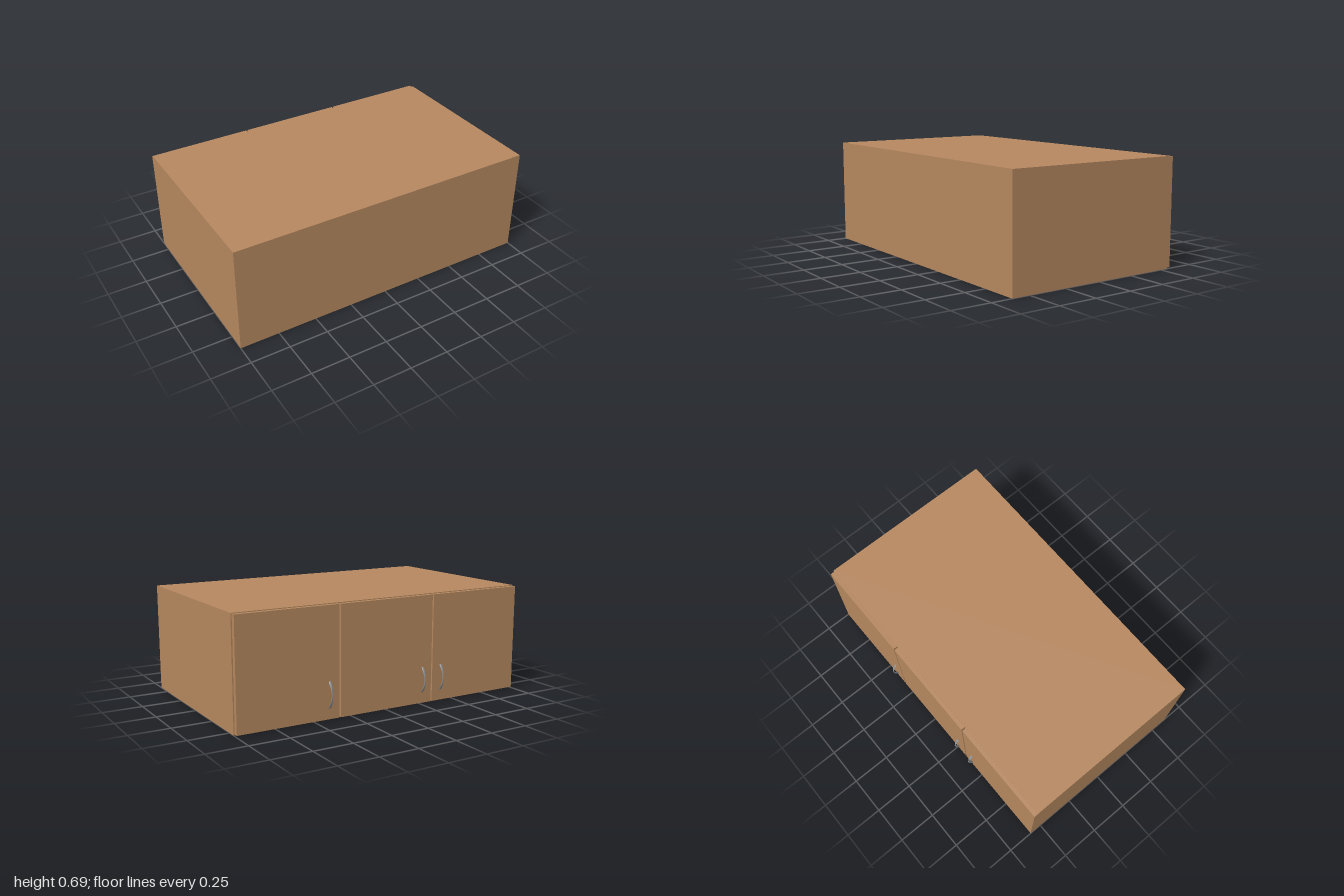
import * as THREE from 'three';

export function createModel() {
  const model = new THREE.Group();
  model.name = 'wallCabinet';

  const wood = new THREE.MeshStandardMaterial({ color: 0xb5875f });
  wood.name = 'wood';
  const metal = new THREE.MeshStandardMaterial({ color: 0x8c9196 });
  metal.name = 'handle metal';

  const H = 0.687, T = 0.03, BACK = -0.555, FRONT = 0.615;

  // Box given by its minimum and maximum corners
  function panel(name, x0, x1, y0, y1, z0, z1) {
    const mesh = new THREE.Mesh(new THREE.BoxGeometry(x1 - x0, y1 - y0, z1 - z0), wood);
    mesh.position.set((x0 + x1) / 2, (y0 + y1) / 2, (z0 + z1) / 2);
    mesh.name = name;
    model.add(mesh);
  }

  // Carcass
  panel('topPanel', -1, 1, H - T, H, BACK, FRONT);
  panel('bottomPanel', -1, 1, 0, T, BACK, FRONT);
  panel('leftSide', 1 - T, 1, T, H - T, BACK, FRONT);
  panel('rightSide', -1, -1 + T, T, H - T, BACK, FRONT);
  panel('rearPanel', -1 + T, 1 - T, T, H - T, FRONT - T, FRONT);
  for (const x of [-0.335, 0.33]) {
    panel('divider', x - T / 2, x + T / 2, T, H - T, BACK, FRONT - T);
  }

  // Doors with narrow gaps between them
  for (const [x0, x1] of [[-1, -0.34], [-0.331, 0.325], [0.334, 0.993]]) {
    panel('door', x0, x1, 0.005, H - 0.005, -0.582, BACK);
  }

  // Bow handles: an arc that is slim in the middle and broad near its ends
  const arc = new THREE.CatmullRomCurve3(
    Array.from({ length: 9 }, (_, i) => {
      const a = (i / 4 - 1) * 0.77;
      return new THREE.Vector3(0, 0.153 + 0.122 * Math.sin(a), -0.488 - 0.122 * Math.cos(a));
    })
  );
  const handleGeo = new THREE.TubeGeometry(arc, 32, 0.0035, 12, false);
  const pos = handleGeo.attributes.position;
  for (let i = 0; i < pos.count; i++) {
    const t = Math.min(1, Math.abs(pos.getY(i) - 0.153) / 0.085);
    pos.setX(i, pos.getX(i) * (1 + 1.4 * Math.sin(Math.PI * t * t * 0.8)));
  }
  handleGeo.computeVertexNormals();
  for (const x of [-0.405, -0.265, 0.4]) {
    const handle = new THREE.Mesh(handleGeo, metal);
    handle.position.x = x;
    handle.name = 'handle';
    model.add(handle);
  }

  return model;
}
